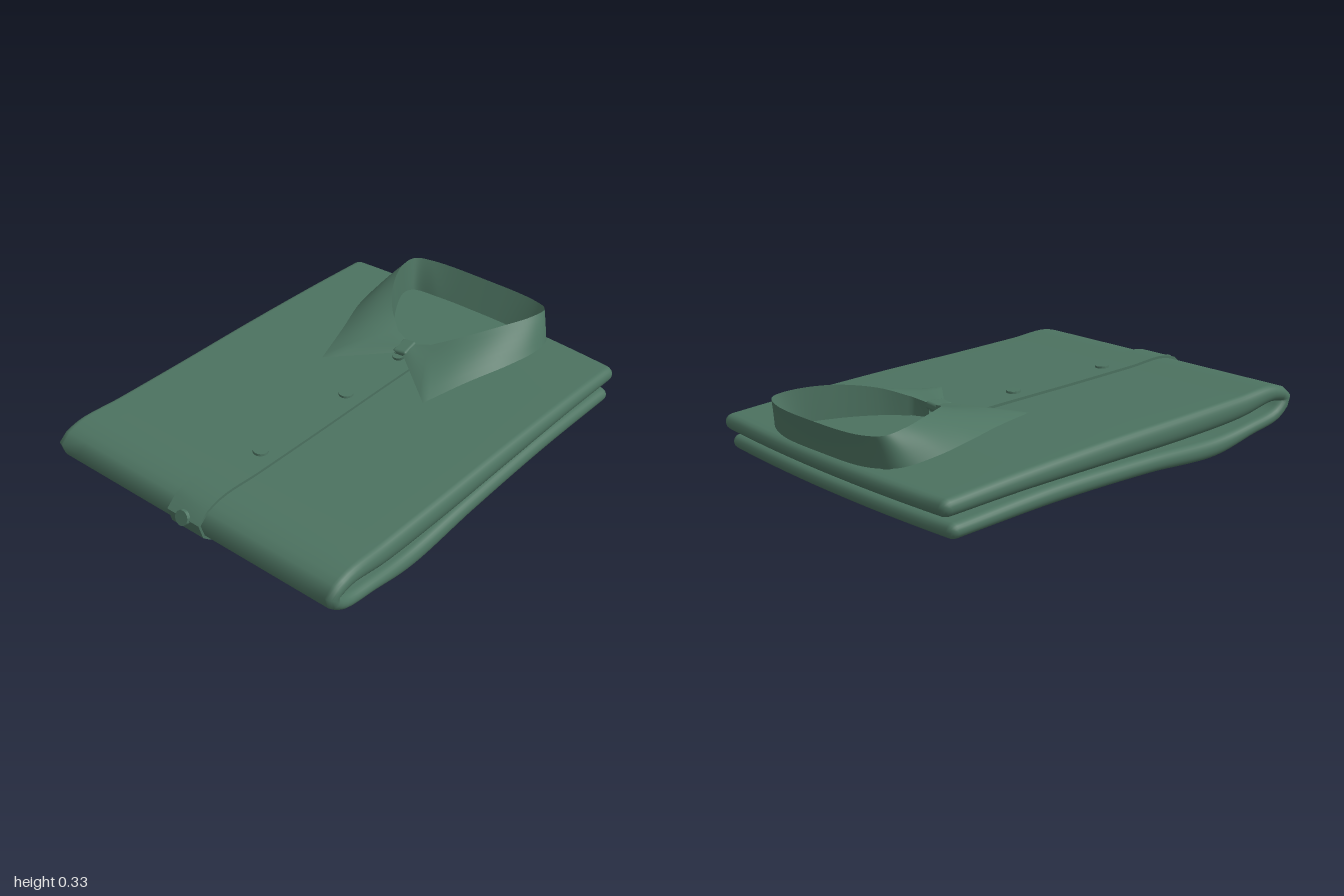
import * as THREE from 'three';
import { mergeVertices, toCreasedNormals } from 'three/addons/utils/BufferGeometryUtils.js';
import { RoundedBoxGeometry } from 'three/addons/geometries/RoundedBoxGeometry.js';

// Skin a grid of points (rows of equal length)
function skin(rows, crease) {
  const cols = rows[0].length, index = [];
  for (let i = 0; i < rows.length - 1; i++) {
    for (let j = 0; j < cols - 1; j++) {
      const a = i * cols + j, b = a + 1, c = a + cols, d = c + 1;
      index.push(a, b, c, b, d, c);
    }
  }
  let geo = new THREE.BufferGeometry();
  geo.setAttribute('position', new THREE.Float32BufferAttribute(rows.flat().flatMap((p) => [p.x, p.y, p.z]), 3));
  geo.setIndex(index);
  geo = mergeVertices(geo, 1e-5);
  geo.computeVertexNormals();
  return crease ? toCreasedNormals(geo, crease) : geo;
}

const V = (x, y, z) => new THREE.Vector3(x, y, z);

// Folded sheet seen from the side: half thickness, y, z of its centre line
const fold = new THREE.CatmullRomCurve3([
  [-0.92, 0.135, 0.035], [-0.6, 0.152, 0.04], [-0.15, 0.166, 0.048], [0.3, 0.176, 0.052],
  [0.65, 0.192, 0.049], [0.87, 0.214, 0.036], [0.952, 0.183, 0.031], [0.9, 0.123, 0.03],
  [0.72, 0.085, 0.031], [0.5, 0.052, 0.04], [0.1, 0.065, 0.037], [-0.4, 0.066, 0.036], [-0.89, 0.042, 0.031],
].map(([z, y, h]) => V(h, y, z)), false, 'centripetal');

const N = 120;
const samples = fold.getSpacedPoints(N).map((c, i) => {
  const t = fold.getTangentAt(i / N);
  t.x = 0;
  t.normalize();
  return { c, t, n: V(0, t.z, -t.y), h: c.x };
});

// Slight skew of the whole folded cloth; s runs from -1 to 1 across it
function warp(x, y, z) {
  const s = x / 0.73;
  return V(x - 0.0025 - 0.023 * z, y, z + 0.022 * x - 0.035 * Math.max(0, -z) * (1 - s * s));
}

function bodyGeometry() {
  const stations = [];
  const R = 0.035, W = 0.73;
  for (let i = 0; i <= 6; i++) {
    const a = (i / 6) * Math.PI / 2;
    stations.push([-W + R * (1 - Math.cos(a)) * 1, Math.sin(a)]);
  }
  const left = stations.slice().reverse().map(([x, k]) => [-x, k]);
  for (let i = 1; i < 14; i++) stations.push([(-1 + i / 7) * (W - R), 1]);
  stations.push(...left);

  const at = (x, s, k, angle) => warp(x,
    s.c.y + s.h * k * (s.n.y * Math.cos(angle) + s.t.y * Math.sin(angle)),
    s.c.z + s.h * k * (s.n.z * Math.cos(angle) + s.t.z * Math.sin(angle)));
  return skin(stations.map(([x, k]) => {
    const loop = samples.map((s) => at(x, s, k, 0));
    for (let j = 1; j < 6; j++) loop.push(at(x, samples[N], k, j * Math.PI / 6));
    for (let i = N; i >= 0; i--) loop.push(at(x, samples[i], k, Math.PI));
    for (let j = 1; j <= 6; j++) loop.push(at(x, samples[0], k, Math.PI + j * Math.PI / 6));
    return loop;
  }));
}

// Front strip following the outer face and wrapping under the fold
function placketGeometry() {
  const turn = samples.findIndex((s) => s.c.z > 0.94);
  const run = samples.filter((s, i) => (i < turn ? s.c.z > -0.38 : s.c.z > 0.5));
  const half = 0.083, t = 0.012;
  const section = [[-half, -0.01], [-half, t], [half, t], [half, -0.01], [-half, -0.01]];
  const rows = run.map((s) => section.map(([x, o]) =>
    warp(x, s.c.y + s.n.y * (s.h + o), s.c.z + s.n.z * (s.h + o))));
  const cap = (r) => r.map(() => r[0].clone().lerp(r[2], 0.5));
  rows.unshift(cap(rows[0]));
  rows.push(cap(rows[rows.length - 1]));
  return skin(rows.reverse(), 0.7);
}

// Collar edges for one half, from the front point round to the back middle
const foldLine = [[0.09, 0.278, -0.445], [0.19, 0.312, -0.535], [0.29, 0.333, -0.68], [0.355, 0.33, -0.84],
  [0.355, 0.32, -0.94], [0.27, 0.312, -0.982], [0, 0.308, -0.998]];
const outerEdge = [[0.27, 0.226, -0.135], [0.335, 0.232, -0.36], [0.405, 0.232, -0.58], [0.432, 0.22, -0.76],
  [0.40, 0.2, -0.9], [0.28, 0.185, -0.958], [0, 0.18, -0.972]];
const standEdge = [[0.09, 0.2, -0.45], [0.18, 0.2, -0.54], [0.28, 0.195, -0.69], [0.342, 0.185, -0.84],
  [0.325, 0.175, -0.9], [0.2, 0.165, -0.915], [0, 0.165, -0.92]];

// Full run of an edge: straight front part, curved round the neck, straight front part
function collarEdge(half, front) {
  const mirror = ([x, y, z]) => [-x, y, z];
  const toV = ([x, y, z]) => V(x + 0.013, y, z);
  const all = [...half, ...half.slice(0, -1).reverse().map(mirror)].map(toV);
  const neck = new THREE.CatmullRomCurve3(all, false, 'centripetal').getPoints(96);
  const first = toV(front), last = toV(mirror(front));
  const lead = [], tail = [];
  for (let i = 0; i < 6; i++) {
    lead.push(first.clone().lerp(neck[0], i / 6));
    tail.push(neck[96].clone().lerp(last, (i + 1) / 6));
  }
  return [...lead, ...neck, ...tail];
}

function band(from, to, bulge) {
  return skin(from.map((p, i) => {
    const row = [];
    for (let j = 0; j <= 6; j++) {
      const q = p.clone().lerp(to[i], j / 6);
      q.y += bulge * Math.sin(Math.PI * j / 6);
      row.push(q);
    }
    return row;
  }));
}

export function createModel() {
  const group = new THREE.Group();
  const green = new THREE.MeshStandardMaterial({ color: 0x4c7260 });
  green.name = 'green cloth';
  green.side = THREE.DoubleSide;
  const add = (name, geo) => {
    const mesh = new THREE.Mesh(geo, green);
    mesh.name = name;
    group.add(mesh);
    return mesh;
  };

  add('foldedBody', bodyGeometry());
  add('placket', placketGeometry());

  // Collar: standing band inside, turned-down leaf outside
  const top = collarEdge(foldLine, [0.015, 0.262, -0.42]);
  const outer = collarEdge(outerEdge, [0.02, 0.25, -0.335]);
  const inner = collarEdge(standEdge, [0.015, 0.2, -0.42]);
  add('collarLeaf', band(outer, top, 0.008));
  add('collarStand', band(top, inner, 0));

  // Overlapping collar end with its button
  const tab = add('collarTab', new RoundedBoxGeometry(0.07, 0.035, 0.095, 3, 0.012));
  tab.position.set(0.005, 0.25, -0.385);
  tab.rotation.set(0.1, 0.08, 0.1);
  const collarButton = add('collarButton', new THREE.CylinderGeometry(0.03, 0.03, 0.014, 24));
  collarButton.position.set(0.003, 0.238, -0.345);
  collarButton.rotation.x = 0.25;

  // Buttons set square to the placket surface
  const up = V(0, 1, 0);
  for (const [y, z] of [[0.22, 0.03], [0.245, 0.565], [0.212, 0.985]]) {
    const gap = (s) => Math.hypot(s.c.y + s.n.y * s.h - y, s.c.z + s.n.z * s.h - z);
    const s = samples.reduce((best, item) => (gap(item) < gap(best) ? item : best));
    const button = add('button', toCreasedNormals(new THREE.CylinderGeometry(0.031, 0.033, 0.014, 28), 0.7));
    const o = s.h + 0.014;
    button.position.copy(warp(0, s.c.y + s.n.y * o, s.c.z + s.n.z * o));
    button.quaternion.setFromUnitVectors(up, s.n);
  }
  return group;
}
